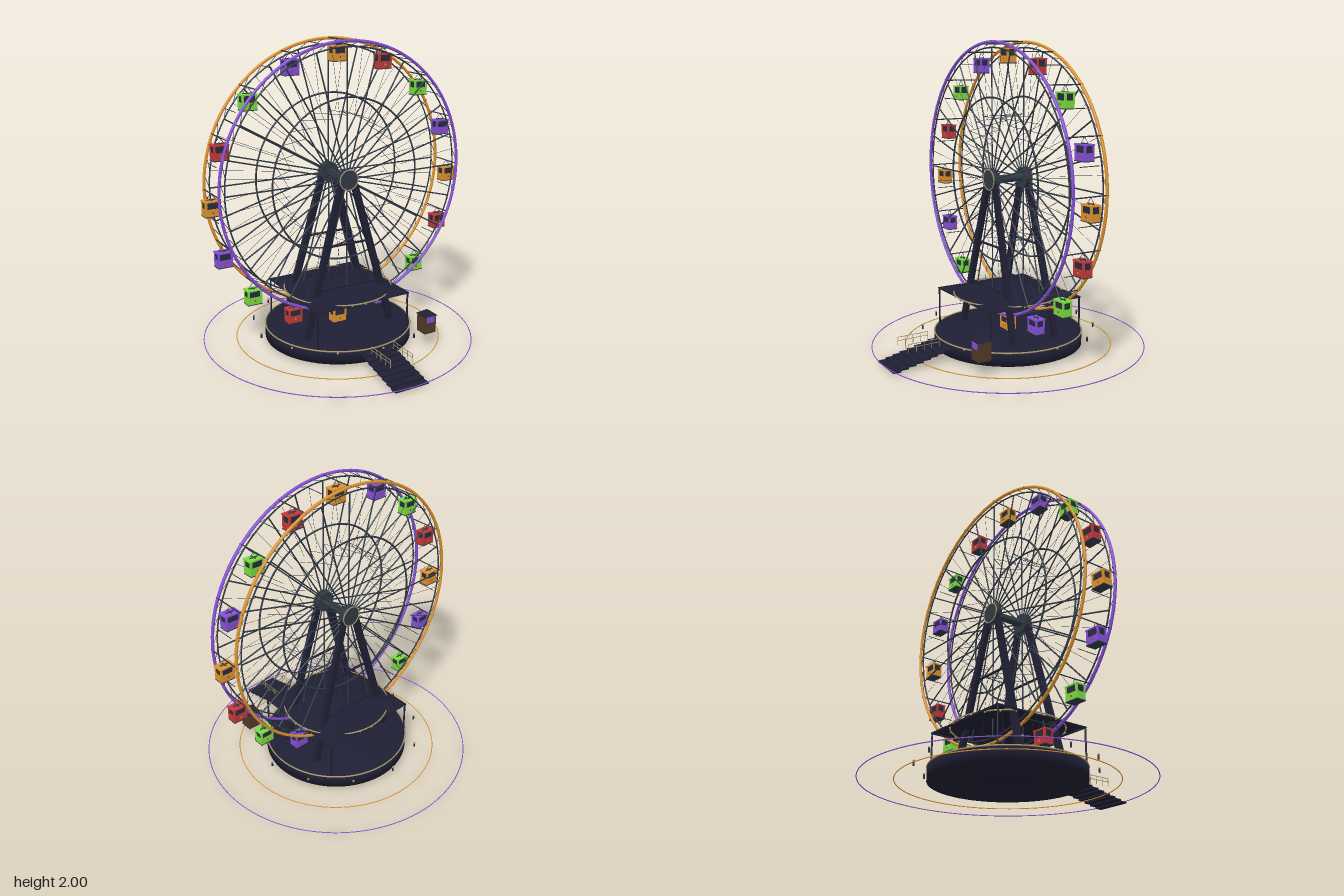
import * as THREE from 'three';
import { mergeGeometries } from 'three/addons/utils/BufferGeometryUtils.js';

const paint = (name, color, side = THREE.FrontSide) => {
  const m = new THREE.MeshStandardMaterial({ color, side });
  m.name = name;
  return m;
};
const V = (x, y, z) => new THREE.Vector3(x, y, z);
const UP = V(0, 1, 0);
const TAU = Math.PI * 2;
const HUB_Y = 1.116, RIM = 0.883, INNER = 0.839, HALF = 0.12;

// Point on the wheel, angle measured clockwise from the top
const onWheel = (r, a, z) => V(r * Math.sin(a), r * Math.cos(a), z);

// Cylinder geometry running between two points
function rod(a, b, r, sides = 6) {
  const d = b.clone().sub(a);
  const g = new THREE.CylinderGeometry(r, r, d.length(), sides);
  g.applyQuaternion(new THREE.Quaternion().setFromUnitVectors(UP, d.normalize()));
  return g.translate((a.x + b.x) / 2, (a.y + b.y) / 2, (a.z + b.z) / 2);
}
const box = (w, h, d, x, y, z) => new THREE.BoxGeometry(w, h, d).translate(x, y, z);
const ball = (r, p) => new THREE.SphereGeometry(r, 8, 6).translate(p.x, p.y, p.z);
const ring = (r, tube, z, sides = 6) => new THREE.TorusGeometry(r, tube, sides, 120).translate(0, 0, z);
const flatRing = (r, tube, y) => new THREE.TorusGeometry(r, tube, 6, 120).rotateX(Math.PI / 2).translate(0, y, 0);

function add(parent, name, geos, mat) {
  const list = Array.isArray(geos) ? geos : [geos];
  const mesh = new THREE.Mesh(list.length > 1 ? mergeGeometries(list) : list[0], mat);
  mesh.name = name;
  parent.add(mesh);
}

export function createModel() {
  const model = new THREE.Group();
  model.name = 'ferrisWheel';
  const navy = paint('navy', 0x1f1f34, THREE.DoubleSide);
  const steel = paint('darkSteel', 0x313a45);
  const purple = paint('purple', 0x8650da);
  const orange = paint('orange', 0xde942f);
  const red = paint('red', 0xc23b39);
  const green = paint('green', 0x79dd41);
  const brown = paint('brown', 0x523a28);
  const tan = paint('tan', 0xa89468);
  const glass = paint('darkGlass', 0x272c3e);

  // Wheel: two rims with spokes, rings, lacing and rim bulbs
  const wheel = new THREE.Group();
  wheel.name = 'wheel';
  wheel.position.y = HUB_Y;
  model.add(wheel);
  for (const s of [1, -1]) {
    const z = s * HALF, side = s > 0 ? 'front' : 'back';
    add(wheel, side + 'OuterRim', ring(RIM - 0.009, 0.01, z, 8), s > 0 ? purple : orange);
    add(wheel, side + 'Rings', [ring(INNER, 0.005, z), ring(0.527, 0.006, z)], steel);
    const spokes = [], wires = [], lacing = [], bulbs = [];
    for (let i = 0; i < 24; i++) {
      const a = i / 24 * TAU, step = TAU / 24;
      spokes.push(rod(onWheel(0.04, a, z), onWheel(INNER, a, z), 0.0048));
      wires.push(rod(onWheel(0.41, a + step / 2, z), onWheel(INNER, a + step / 2, z), 0.0012, 4));
      // Cross bracing from one side's spoke to the next spoke opposite
      wires.push(rod(onWheel(0.415, a, z), onWheel(0.415, a + step, -z), 0.0016, 4));
    }
    for (let i = 0; i < 48; i++) {
      const a = i / 48 * TAU;
      lacing.push(rod(onWheel(INNER, a, z), onWheel(RIM - 0.009, a + TAU / 60, z), 0.0018, 4));
      bulbs.push(ball(0.0045, onWheel(RIM - 0.009, a, z + s * 0.01)));
    }
    add(wheel, side + 'Spokes', spokes, steel);
    add(wheel, side + 'Wires', wires, steel);
    add(wheel, side + 'RimLacing', lacing, steel);
    add(wheel, side + 'RimBulbs', bulbs, tan);
  }

  // Hub and axle
  const hub = [rod(V(0, 0, -0.12), V(0, 0, 0.12), 0.026, 20)];
  for (const s of [1, -1]) {
    hub.push(rod(V(0, 0, s * 0.1), V(0, 0, s * 0.147), 0.066, 32));
    add(wheel, 'hubTrim', ring(0.066, 0.004, s * 0.147), tan);
  }
  add(wheel, 'hub', hub, steel);

  // Bars across the rims: full ones carry cabins, short ones lie between
  const bars = [];
  for (let i = 0; i < 16; i++) {
    const a = i / 16 * TAU, b = a + TAU / 32;
    bars.push(rod(onWheel(RIM - 0.005, a, -0.13), onWheel(RIM - 0.005, a, 0.13), 0.004));
    bars.push(rod(onWheel(RIM - 0.003, b, -0.07), onWheel(RIM - 0.003, b, 0.07), 0.0025));
  }
  add(wheel, 'crossBars', bars, steel);

  // Cabins hang upright below their pivots
  const colours = [orange, red, green, purple];
  for (let i = 0; i < 16; i++) {
    const cabin = new THREE.Group();
    cabin.name = 'cabin';
    cabin.position.copy(onWheel(RIM - 0.003, i / 16 * TAU, 0));
    wheel.add(cabin);
    const shell = [box(0.098, 0.046, 0.066, 0, -0.113, 0), box(0.104, 0.009, 0.07, 0, -0.045, 0)];
    const hanger = [];
    for (const x of [-1, 1]) {
      for (const z of [-1, 1]) shell.push(box(0.013, 0.044, 0.011, x * 0.0425, -0.07, z * 0.0275));
      hanger.push(rod(V(0, 0, 0), V(x * 0.036, -0.044, 0), 0.002, 4));
    }
    add(cabin, 'cabinShell', shell, colours[i % 4]);
    add(cabin, 'cabinWindows', box(0.09, 0.042, 0.058, 0, -0.07, 0), glass);
    hanger.push(box(0.05, 0.005, 0.007, 0, -0.039, 0), box(0.007, 0.005, 0.035, 0, -0.039, 0));
    hanger.push(box(0.1, 0.005, 0.07, 0, -0.138, 0));
    add(cabin, 'cabinHangerAndFloor', hanger, steel);
    const badges = [1, -1].map(s => rod(V(0, -0.112, s * 0.032), V(0, -0.112, s * 0.035), 0.006, 12));
    add(cabin, 'cabinBadge', badges, i % 4 === 1 ? orange : red);
  }

  // A-frame legs with tie beams
  const frame = [];
  for (const s of [1, -1]) {
    const at = (t, x) => V(x * (0.04 + 0.28 * t), HUB_Y - 1.016 * t, s * (0.125 + 0.035 * t));
    for (const x of [1, -1]) {
      const a = at(0, x), b = at(1, x), d = b.clone().sub(a);
      const g = new THREE.BoxGeometry(0.042, d.length(), 0.03);
      g.applyQuaternion(new THREE.Quaternion().setFromUnitVectors(UP, d.normalize().negate()));
      const c = a.add(b).multiplyScalar(0.5);
      frame.push(g.translate(c.x, c.y, c.z));
    }
    for (const t of [0.42, 0.7]) frame.push(rod(at(t, -1), at(t, 1), 0.008, 8));
  }
  add(model, 'supportLegs', frame, navy);

  // Round platform, softly shaded, with its edge trim and the ground rings
  const profile = [[0, 0.015], [0.492, 0.015], [0.492, 0.101], [0, 0.101]].map(p => new THREE.Vector2(...p));
  add(model, 'platform', new THREE.LatheGeometry(profile, 72), navy);
  add(model, 'platformTrim', flatRing(0.491, 0.005, 0.101), tan);
  add(model, 'outerGroundRing', flatRing(0.905, 0.003, 0.018), purple);
  add(model, 'innerGroundRing', flatRing(0.686, 0.003, 0.018), orange);

  // Canopy on four posts, with a ring of lights
  const roof = new THREE.ConeGeometry(0.348 * Math.SQRT2, 0.075, 4, 1, true).toNonIndexed();
  roof.rotateY(Math.PI / 4).translate(0, 0.3875, 0).computeVertexNormals();
  add(model, 'canopyRoof', roof, navy);
  const posts = [], lights = [flatRing(0.36, 0.005, 0.355)];
  for (const x of [-0.338, 0.338]) {
    for (const z of [-0.338, 0.338]) posts.push(rod(V(x, 0.1, z), V(x, 0.352, z), 0.006, 8));
    posts.push(box(0.01, 0.01, 0.69, x, 0.347, 0), box(0.69, 0.01, 0.01, 0, 0.347, x));
  }
  for (let i = 0; i < 24; i++) {
    const a = i / 24 * TAU;
    lights.push(ball(0.007, V(0.36 * Math.sin(a), 0.349, 0.36 * Math.cos(a))));
  }
  add(model, 'canopyPosts', posts, navy);
  add(model, 'lightRing', lights, tan);

  // Bollards around the platform
  const stems = [], caps = [];
  for (let i = 0; i < 12; i++) {
    const x = 0.572 * Math.sin(i / 12 * TAU), z = 0.572 * Math.cos(i / 12 * TAU);
    stems.push(rod(V(x, 0.1, z), V(x, 0.128, z), 0.006, 8));
    caps.push(ball(0.0075, V(x, 0.13, z)));
  }
  add(model, 'bollards', stems, navy);
  add(model, 'bollardCaps', caps, tan);

  // Entrance steps and hand rails
  const treads = [], rails = [];
  for (let i = 0; i < 8; i++) treads.push(box(0.24, 0.01, 0.052, 0, 0.0795 - i * 0.0106, 0.515 + i * 0.05));
  add(model, 'steps', treads, navy);
  for (const x of [-0.08, 0.08]) {
    for (const y of [0.153, 0.13]) rails.push(rod(V(x, y, 0.56), V(x, y, 0.77), 0.0022));
    for (let i = 0; i < 5; i++) rails.push(rod(V(x, 0.1, 0.56 + i * 0.0525), V(x, 0.153, 0.56 + i * 0.0525), 0.0022));
  }
  add(model, 'handRails', rails, tan);

  // Ticket booth
  const booth = new THREE.Group();
  booth.name = 'ticketBooth';
  booth.position.set(0.417, 0.1, 0.45);
  model.add(booth);
  add(booth, 'boothWalls', box(0.088, 0.12, 0.088, 0, 0.06, 0), brown);
  const boothRoof = new THREE.ConeGeometry(0.052 * Math.SQRT2, 0.036, 4).toNonIndexed();
  boothRoof.rotateY(Math.PI / 4).translate(0, 0.138, 0).computeVertexNormals();
  add(booth, 'boothRoof', boothRoof, navy);
  add(booth, 'boothWindow', box(0.06, 0.04, 0.005, 0, 0.096, 0.045), purple);
  return model;
}
